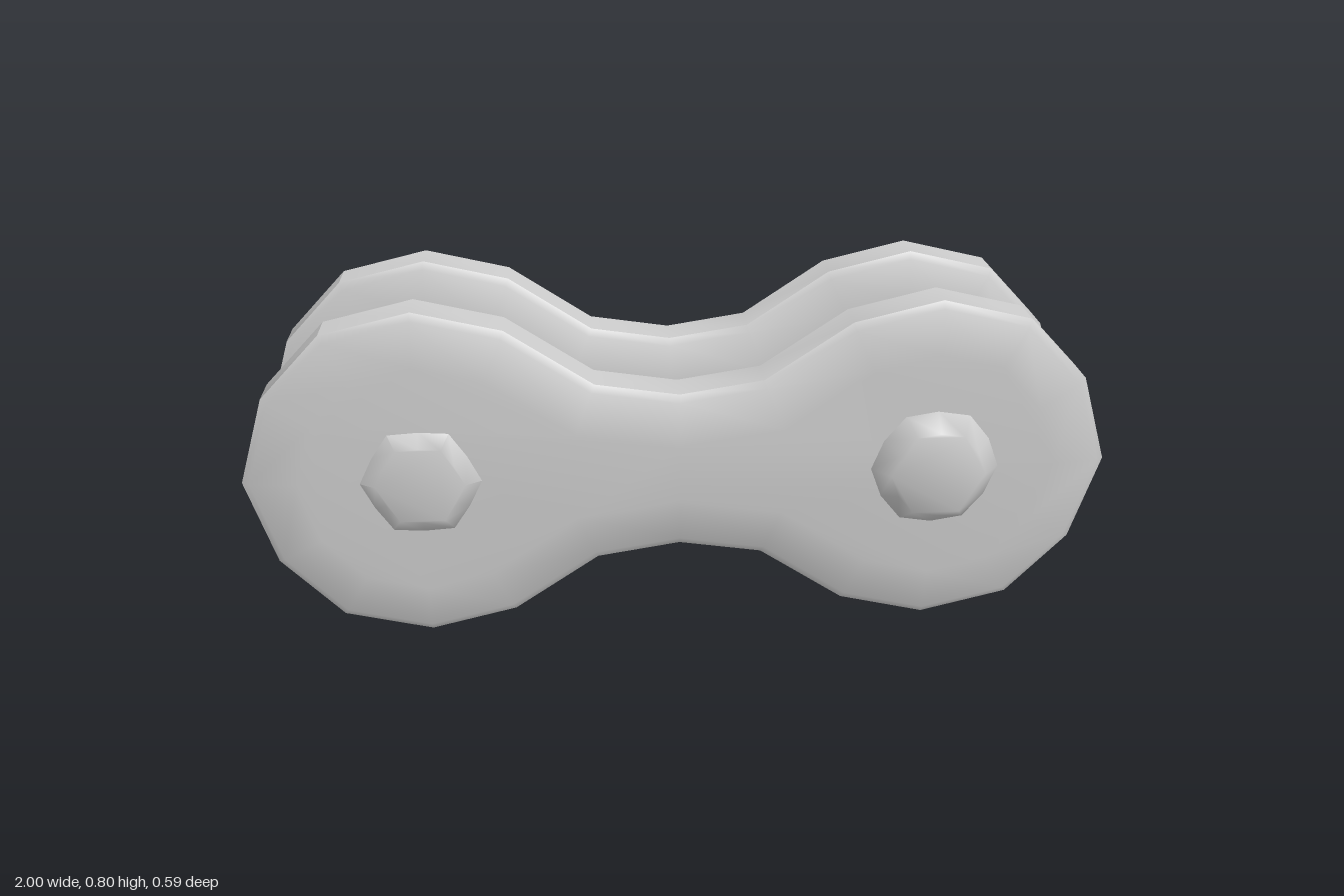
import * as THREE from 'three';
import { toCreasedNormals } from 'three/addons/utils/BufferGeometryUtils.js';

const CENTER_Y = 0.403;  // height of the pin axes
const PLATE_Z = 0.18;    // middle of each side plate
const PIN_X = 0.593;     // distance of the pins from the centre

const material = new THREE.MeshStandardMaterial({ color: 0xcccccc });

// Joins counter-clockwise loops, listed from front (+z) to back, and caps both ends
function loft(loops, crease) {
  const n = loops[0].points.length;
  const positions = loops.flatMap(({ points, z }) => points.flatMap((p) => [p.x, p.y, z]));
  const index = [];
  for (let r = 0; r < loops.length - 1; r++) {
    for (let i = 0; i < n; i++) {
      const a = r * n + i, b = r * n + (i + 1) % n;
      index.push(a, a + n, b + n, a, b + n, b);
    }
  }
  const cap = (loop, offset, flip) => {
    for (const [a, b, c] of THREE.ShapeUtils.triangulateShape(loop.points, [])) {
      index.push(offset + a, offset + (flip ? c : b), offset + (flip ? b : c));
    }
  };
  cap(loops[0], 0, false);
  cap(loops[loops.length - 1], (loops.length - 1) * n, true);
  const geometry = new THREE.BufferGeometry();
  geometry.setAttribute('position', new THREE.Float32BufferAttribute(positions, 3));
  geometry.setIndex(index);
  return toCreasedNormals(geometry, crease);
}

// Moves every edge of a counter-clockwise outline inwards by d
function inset(points, d) {
  const n = points.length;
  const normal = (a, b) => {
    const t = b.clone().sub(a).normalize();
    return new THREE.Vector2(-t.y, t.x);
  };
  return points.map((p, i) => {
    const n1 = normal(points[(i + n - 1) % n], p);
    const n2 = normal(p, points[(i + 1) % n]);
    return p.clone().addScaledVector(n1.clone().add(n2), d / (1 + n1.dot(n2)));
  });
}

// Figure-eight outline, mirrored from one quarter
function plateOutline() {
  const quarter = [[1, 0], [0.937, 0.205], [0.797, 0.353], [PIN_X, 0.402],
    [0.392, 0.354], [0.193, 0.22], [0, 0.19]];
  const upper = [...quarter, ...quarter.slice(0, -1).reverse().map(([x, y]) => [-x, y])];
  const lower = upper.slice(1, -1).reverse().map(([x, y]) => [x, -y]);
  return [...upper, ...lower].map(([x, y]) => new THREE.Vector2(x, y));
}

// Side plate with a chamfered rim and faces that slope slightly to the edge
function plateGeometry() {
  const outline = plateOutline();
  const half = [[0.12, 0.069], [0.017, 0.056], [0, 0.044]];
  const section = [...half, ...half.slice().reverse().map(([d, z]) => [d, -z])];
  return loft(section.map(([d, z]) => ({ points: inset(outline, d), z })), 0.55);
}

// Rounded six-sided pin head tapering to a flat tip
function headGeometry(corner, side, height) {
  const ring = (scale) => Array.from({ length: 12 }, (_, i) => {
    const a = i * Math.PI / 6, r = scale * (i % 2 ? side : corner);
    return new THREE.Vector2(r * Math.cos(a), r * Math.sin(a));
  });
  return loft([
    { points: ring(0.73), z: height },
    { points: ring(1), z: 0 },
    { points: ring(1), z: -0.03 },
  ], 1.2);
}

export function createModel() {
  const model = new THREE.Group();
  model.name = 'chainLink';
  const add = (name, geometry, x, z, parent = model) => {
    const mesh = new THREE.Mesh(geometry, material);
    mesh.name = name;
    mesh.position.set(x, CENTER_Y, z);
    parent.add(mesh);
    return mesh;
  };

  // Side plates
  const plate = plateGeometry();
  add('frontPlate', plate, 0, PLATE_Z);
  add('backPlate', plate, 0, -PLATE_Z);

  // Rollers between the plates
  const roller = new THREE.CylinderGeometry(0.168, 0.168, 0.25, 32).rotateX(Math.PI / 2);
  add('leftRoller', roller, PIN_X, 0);
  add('rightRoller', roller, -PIN_X, 0);

  // Pin heads: each pin has one large and one small end, on opposite faces
  const large = headGeometry(0.15, 0.142, 0.045);
  const small = headGeometry(0.14, 0.126, 0.023);
  for (const s of [1, -1]) {
    const face = s > 0 ? 'front' : 'back';
    for (const [name, geometry, x] of [['LargePinHead', large, s * PIN_X], ['SmallPinHead', small, -s * PIN_X]]) {
      const head = add(face + name, geometry, x, s * 0.248);
      if (s < 0) head.rotation.y = Math.PI;
    }
  }
  return model;
}
